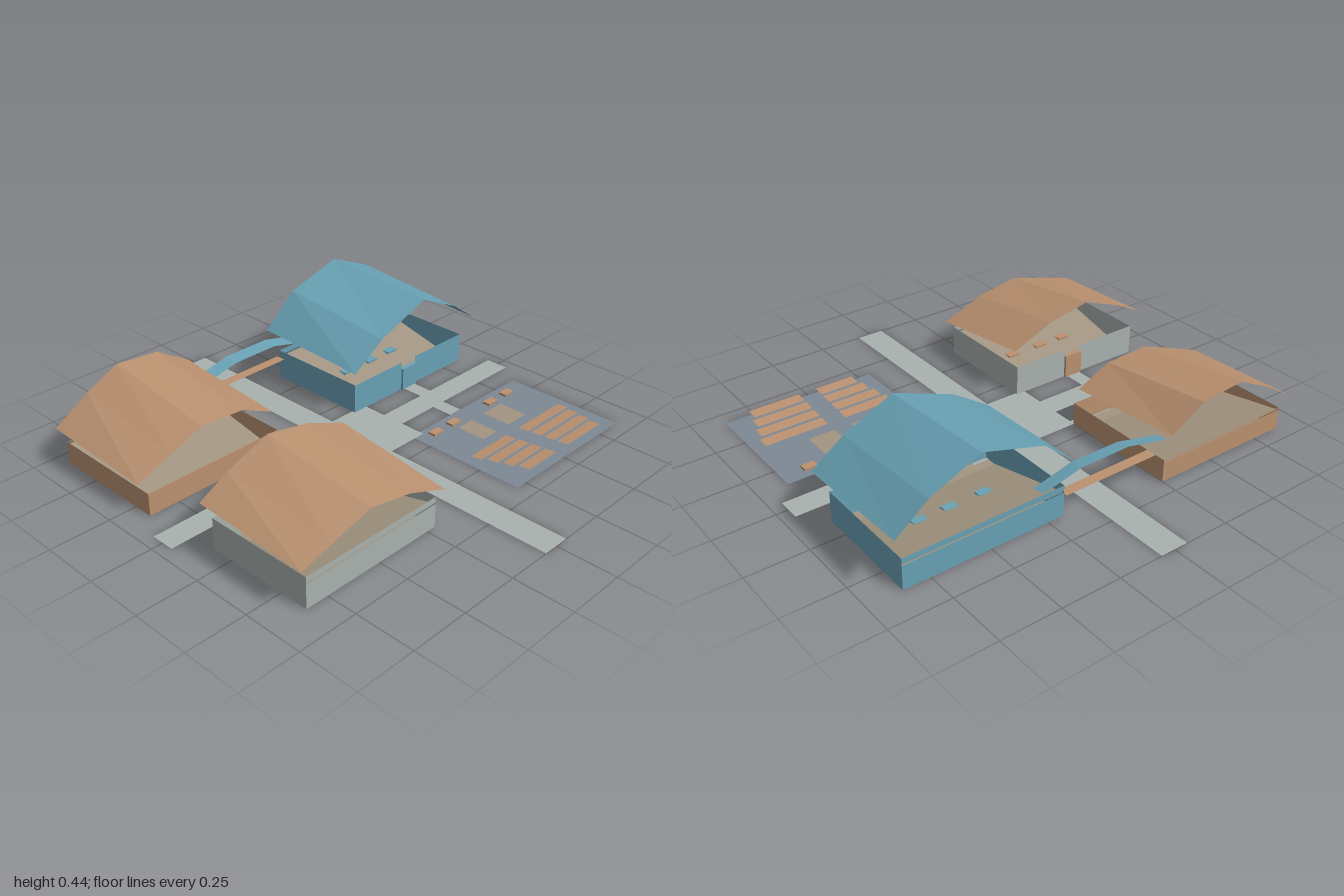
import * as THREE from 'three';

const mat = (name, color) => {
  const m = new THREE.MeshStandardMaterial({ color, side: THREE.DoubleSide, flatShading: true });
  m.name = name;
  return m;
};

export function createModel() {
  const root = new THREE.Group();
  root.name = 'campus';
  const stone = mat('paleStone', 0xa9b2af);
  const wood = mat('tanWood', 0xba9170);
  const blue = mat('tealBlue', 0x69a2b5);
  const slate = mat('slatePad', 0x7d8995);
  const floorTan = mat('floorTan', 0xa39582);

  const add = (parent, name, geo, material) => {
    const m = new THREE.Mesh(geo, material);
    m.name = name;
    parent.add(m);
    return m;
  };

  // strip of surface between two matching rows of points
  const loft = (rowA, rowB) => {
    const pos = [];
    for (let i = 0; i < rowA.length - 1; i++) {
      const [a, b, c, d] = [rowA[i], rowA[i + 1], rowB[i + 1], rowB[i]];
      pos.push(...d, ...c, ...b, ...d, ...b, ...a);
    }
    const g = new THREE.BufferGeometry();
    g.setAttribute('position', new THREE.Float32BufferAttribute(pos, 3));
    g.computeVertexNormals();
    return g;
  };
  // level or tilted rectangle: y0 at z0, y1 at z1
  const sheet = (x0, x1, z0, z1, y0, y1 = y0) =>
    loft([[x0, y0, z0], [x1, y0, z0]], [[x0, y1, z1], [x1, y1, z1]]);
  // upright panel between two ground points
  const panel = (x0, z0, x1, z1, y0, y1) =>
    loft([[x0, y1, z0], [x1, y1, z1]], [[x0, y0, z0], [x1, y0, z1]]);
  const box = (w, h, d, x, y, z) => new THREE.BoxGeometry(w, h, d).translate(x, y + h / 2, z);

  // paths
  const paths = new THREE.Group();
  paths.name = 'paths';
  root.add(paths);
  [
    [-0.25, 0.25, -0.17, 0.165],
    [-0.06, 0.06, -1, -0.17], [-0.06, 0.06, 0.165, 1],
    [-0.95, -0.25, -0.053, 0.05], [0.25, 0.95, -0.053, 0.05],
    [-0.51, -0.445, -0.165, -0.053], [-0.445, -0.25, -0.17, -0.145],
    [-0.545, -0.48, 0.05, 0.155],
    [0.445, 0.51, 0.05, 0.145], [0.48, 0.545, -0.155, -0.053],
  ].forEach(r => add(paths, 'path', sheet(...r, 0.001), stone));

  // open-air seating pad
  const pad = new THREE.Group();
  pad.name = 'openSeatingPad';
  root.add(pad);
  add(pad, 'padSlab', sheet(0.2, 0.875, 0.145, 0.68, 0.0), slate);
  add(pad, 'leftMat', sheet(0.55, 0.665, 0.24, 0.37, 0.003), floorTan);
  add(pad, 'rightMat', sheet(0.385, 0.47, 0.24, 0.37, 0.003), floorTan);
  [0.292, 0.403, 0.645, 0.757].forEach(x =>
    add(pad, 'desk', box(0.055, 0.01, 0.035, x, 0, 0.198), wood));
  for (let i = 0; i < 4; i++) {
    const z = 0.42 + i * 0.064, inset = i * 0.017;
    const y = 0.007 + i * 0.006;
    add(pad, 'rightBench', sheet(0.245 + inset, 0.47, z, z + 0.05, y, y + 0.005), wood);
    add(pad, 'leftBench', sheet(0.55, 0.827 - inset, z, z + 0.05, y, y + 0.005), wood);
  }

  // open-topped hall with a raked floor, entrance at zFront, rear at zRear
  const hall = (name, x0, x1, zFront, zRear, h, wall, trim, doorX) => {
    const g = new THREE.Group();
    g.name = name;
    root.add(g);
    const s = Math.sign(zRear), rearY = Math.min(0.1, h - 0.01);
    add(g, 'baseFloor', sheet(x0, x1, zFront, zRear, 0), floorTan);
    add(g, 'rakedFloor', sheet(x0 + 0.002, x1 - 0.002, zFront + s * 0.06, zRear - s * 0.004, 0.004, rearY), floorTan);
    add(g, 'leftWall', panel(x1, zFront, x1, zRear, 0, h), wall);
    add(g, 'rightWall', panel(x0, zFront, x0, zRear, 0, h), wall);
    add(g, 'rearWallLower', panel(x0, zRear, x1, zRear, 0, rearY), wall);
    add(g, 'rearWallUpper', panel(x0, zRear, x1, zRear, rearY + 0.006, h), wall);
    if (doorX === undefined) {
      add(g, 'frontWall', panel(x0, zFront, x1, zFront, 0, h), wall);
      return;
    }
    add(g, 'frontWall', panel(x0, zFront, doorX - 0.043, zFront, 0, h), wall);
    add(g, 'frontWall', panel(doorX + 0.043, zFront, x1, zFront, 0, h), wall);
    add(g, 'door', box(0.086, 0.1, 0.02, doorX, 0, zFront), trim);
    [-0.15, 0, 0.13].forEach(dx =>
      add(g, 'desk', box(0.055, 0.014, 0.035, doorX + s * -dx, 0.036, s * 0.385), trim));
  };
  hall('stoneHall', -0.845, -0.21, 0.155, 0.62, 0.13, stone, wood, -0.51);
  hall('blueHall', 0.18, 0.86, -0.155, -0.62, 0.13, blue, blue, 0.512);
  hall('woodHall', -0.88, -0.25, -0.165, -0.68, 0.095, wood, wood);

  // floating folded roofs: [x, back height, front height] per fold
  const roof = (name, zBack, zFront, folds, material) =>
    add(root, name, loft(folds.map(f => [f[0], f[1], zBack]), folds.map(f => [f[0], f[2], zFront])), material);
  roof('stoneHallRoof', 0.135, 0.638, [
    [-0.88, 0.2, 0.178], [-0.75, 0.267, 0.215], [-0.563, 0.337, 0.266],
    [-0.37, 0.3, 0.23], [-0.183, 0.223, 0.157]], wood);
  roof('woodHallRoof', -0.708, -0.187, [
    [-0.905, 0.155, 0.135], [-0.75, 0.25, 0.195], [-0.6, 0.322, 0.25],
    [-0.405, 0.305, 0.24], [-0.253, 0.212, 0.17]], wood);
  roof('blueHallRoof', -0.658, -0.12, [
    [0.145, 0.228, 0.208], [0.305, 0.365, 0.312], [0.563, 0.44, 0.408],
    [0.77, 0.35, 0.31], [0.904, 0.245, 0.213]], blue);

  // covered walkway between the two rear halls
  roof('walkwayCanopy', -0.643, -0.583, [
    [-0.295, 0.152, 0.14], [-0.1, 0.195, 0.185], [0.12, 0.195, 0.185], [0.29, 0.155, 0.143]], blue);
  add(root, 'walkwayDeck', sheet(-0.25, 0.18, -0.635, -0.59, 0.095), wood);

  return root;
}
